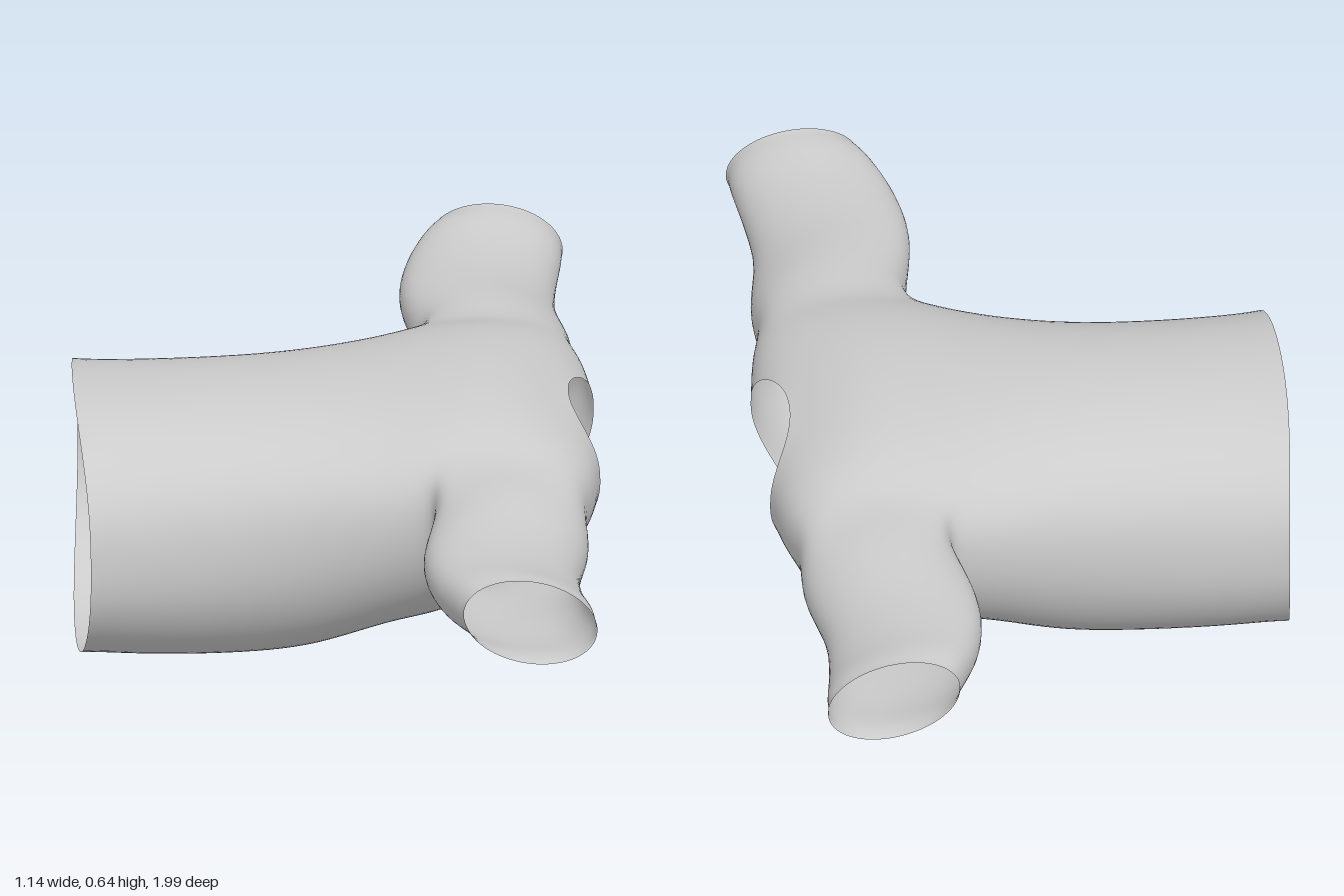
import * as THREE from 'three';
import { mergeVertices } from 'three/addons/utils/BufferGeometryUtils.js';

// Torso stations, hem to neck: x at side, top, bottom; y bottom, widest, top; half width
const STATIONS = [
  [-0.545, -0.57, -0.565, 0.02, 0.31, 0.61, 0.38],
  [-0.40, -0.40, -0.40, 0.004, 0.31, 0.612, 0.366],
  [-0.20, -0.20, -0.20, 0.002, 0.33, 0.617, 0.36],
  [-0.05, -0.05, -0.05, 0.02, 0.36, 0.623, 0.372],
  [0.10, 0.10, 0.10, 0.078, 0.40, 0.632, 0.405],
  [0.20, 0.20, 0.20, 0.105, 0.44, 0.639, 0.435],
  [0.32, 0.30, 0.27, 0.14, 0.46, 0.643, 0.44],
  [0.42, 0.37, 0.34, 0.183, 0.465, 0.632, 0.44],
  [0.505, 0.43, 0.40, 0.22, 0.465, 0.61, 0.42],
  [0.55, 0.47, 0.44, 0.243, 0.46, 0.59, 0.32],
  [0.567, 0.505, 0.47, 0.26, 0.44, 0.572, 0.19],
];
// Sleeve sections, shoulder to cuff: z, x min, x max, y min, y max
const SLEEVE = [
  [0.52, 0.185, 0.535, 0.335, 0.575],
  [0.70, 0.155, 0.505, 0.355, 0.56],
  [0.85, 0.175, 0.515, 0.368, 0.562],
  [0.95, 0.215, 0.53, 0.385, 0.575],
  [0.995, 0.24, 0.53, 0.38, 0.575],
];
const STEP = 6, ROWS = (STATIONS.length - 1) * STEP, SEG = 96, SLEEVE_ROWS = 36;
const Z_SHIFT = -0.01;

// Point of a torso station at an angle (0 = +z side, 90 degrees = top)
function torsoPoint([side, top, bottom, yb, ym, yt, w], a) {
  const c = Math.cos(a), s = Math.sin(a);
  const x = side * c * c + (s > 0 ? top : bottom) * s * s;
  const y = s > 0 ? ym + (yt - ym) * Math.pow(s, 0.75) : ym + (ym - yb) * s;
  return new THREE.Vector3(x, y, w * Math.sign(c) * Math.pow(Math.abs(c), 0.95) + Z_SHIFT);
}

// Even out the surface, leaving the open edges in place
function relax(geo, passes) {
  const pos = geo.attributes.position, idx = geo.index.array;
  const links = Array.from({ length: pos.count }, () => new Map());
  const link = (a, b) => links[a].set(b, (links[a].get(b) || 0) + 1);
  for (let t = 0; t < idx.length; t += 3) {
    for (let e = 0; e < 3; e++) {
      const a = idx[t + e], b = idx[t + (e + 1) % 3];
      link(a, b);
      link(b, a);
    }
  }
  const fixed = links.map((m) => [...m.values()].some((n) => n === 1));
  for (let p = 0; p < passes; p++) {
    const old = pos.array.slice();
    links.forEach((m, i) => {
      if (fixed[i]) return;
      for (let k = 0; k < 3; k++) {
        let sum = 0;
        for (const j of m.keys()) sum += old[j * 3 + k];
        pos.array[i * 3 + k] = 0.5 * old[i * 3 + k] + 0.5 * sum / m.size;
      }
    });
  }
}

function shirtGeometry() {
  const verts = [], index = [];
  const add = (v) => verts.push(v) - 1;
  const quad = (a, b, c, d) => index.push(a, b, c, a, c, d);

  // Torso grid: one smooth curve from hem to neck for every angle
  const grid = [];
  for (let j = 0; j < SEG; j++) {
    const a = (j / SEG) * Math.PI * 2;
    const curve = new THREE.CatmullRomCurve3(STATIONS.map((s) => torsoPoint(s, a)));
    grid.push(Array.from({ length: ROWS + 1 }, (_, i) => add(curve.getPoint(i / ROWS))));
  }
  const at = (i, j) => grid[(j + SEG) % SEG][i];

  // Armholes: a block of the grid left out on each side
  const i0 = 5 * STEP, i1 = 8 * STEP + 2;
  const holes = [
    { sign: 1, j0: -8, j1: 9 },
    { sign: -1, j0: SEG / 2 - 9, j1: SEG / 2 + 8 },
  ];
  const inHole = (i, j) => i >= i0 && i < i1 && holes.some(({ j0, j1 }) =>
    (j >= j0 && j < j1) || (j - SEG >= j0 && j - SEG < j1));
  for (let i = 0; i < ROWS; i++) {
    for (let j = 0; j < SEG; j++) {
      if (!inHole(i, j)) quad(at(i, j), at(i + 1, j), at(i + 1, j + 1), at(i, j + 1));
    }
  }

  // Sleeves: lofted from the armhole edge out to the cuff
  for (const { sign, j0, j1 } of holes) {
    const loop = [];
    for (let i = i0; i < i1; i++) loop.push(at(i, j0));
    for (let j = j0; j < j1; j++) loop.push(at(i1, j));
    for (let i = i1; i > i0; i--) loop.push(at(i, j1));
    for (let j = j1; j > j0; j--) loop.push(at(i0, j));
    const columns = loop.map((id) => {
      const start = verts[id];
      const a = Math.atan2((start.y - 0.45) / 0.14, (start.x - 0.36) / 0.17);
      const pts = SLEEVE.map(([z, x0, x1, y0, y1]) => {
        const dx = Math.cos(a) * (x1 - x0) / 2;
        const x = (x0 + x1) / 2 + dx;
        const y = (y0 + y1) / 2 + Math.sin(a) * (y1 - y0) / 2 - 0.12 * dx;
        return new THREE.Vector3(x, y, sign * (z + 0.04 * (x - 0.5)));
      });
      const curve = new THREE.CatmullRomCurve3([start, ...pts]);
      const col = [id];
      for (let r = 1; r <= SLEEVE_ROWS; r++) col.push(add(curve.getPoint(r / SLEEVE_ROWS)));
      return col;
    });
    columns.forEach((a, k) => {
      const b = columns[(k + 1) % columns.length];
      for (let r = 0; r < SLEEVE_ROWS; r++) quad(a[r], b[r], b[r + 1], a[r + 1]);
    });
  }

  let geo = new THREE.BufferGeometry().setFromPoints(verts);
  geo.setIndex(index);
  geo = mergeVertices(geo, 1e-5);
  relax(geo, 12);
  geo.computeVertexNormals();
  return geo;
}

export function createModel() {
  const group = new THREE.Group();
  group.name = 'tShirt';
  // Torso and sleeves are one seamless cloth surface, open at hem, neck and cuffs
  const cloth = new THREE.Mesh(
    shirtGeometry(),
    new THREE.MeshStandardMaterial({ color: 0xcccccc, side: THREE.DoubleSide }),
  );
  cloth.name = 'shirtCloth';
  group.add(cloth);
  return group;
}
